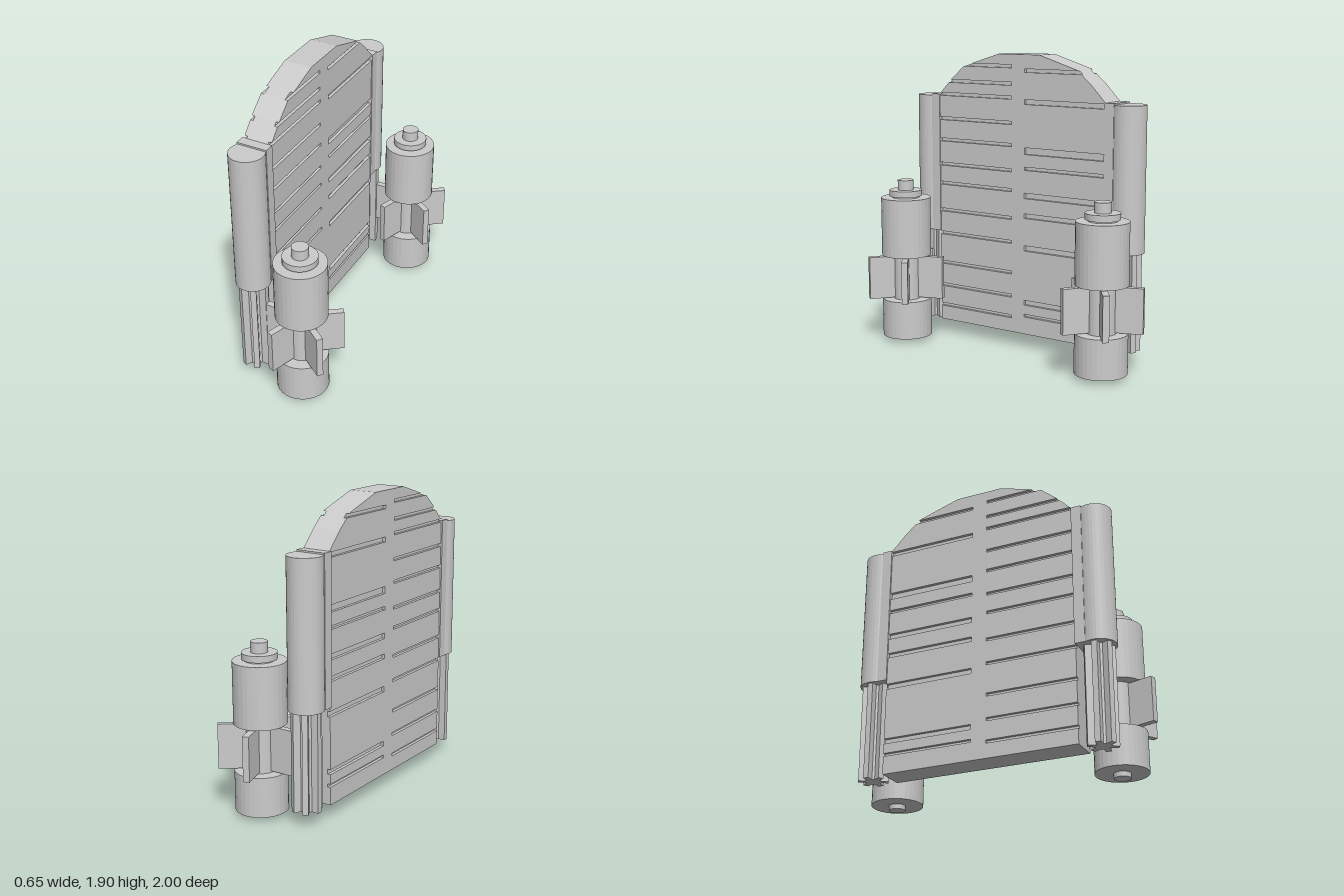
import * as THREE from 'three';

const grey = new THREE.MeshStandardMaterial({ color: 0xcccccc, flatShading: true });

function add(parent, name, geometry, x = 0, y = 0, z = 0) {
  const mesh = new THREE.Mesh(geometry, grey);
  mesh.name = name;
  mesh.position.set(x, y, z);
  parent.add(mesh);
  return mesh;
}

// Upright cylinder between two heights
function drum(parent, name, r, y0, y1, x = 0, z = 0) {
  return add(parent, name, new THREE.CylinderGeometry(r, r, y1 - y0, 32), x, (y0 + y1) / 2, z);
}

// Upright blades fanned around a vertical axis
function fan(parent, name, count, start, r, width, y0, y1) {
  for (let i = 0; i < count; i++) {
    const blade = new THREE.BoxGeometry(r, y1 - y0, width);
    blade.translate(r / 2, (y0 + y1) / 2, 0);
    blade.rotateY(start + (i * Math.PI * 2) / count);
    add(parent, name, blade);
  }
}

// Half outline of the panel as [distance from its middle, height]
const BOTTOM = 0.095;
const PANEL_Z = 0.01;
const ARCH = [[0.632, BOTTOM], [0.632, 1.63], [0.535, 1.73], [0.43, 1.82], [0.155, 1.905]];

function edgeAt(y) {
  for (let i = 1; i < ARCH.length; i++) {
    const [a, ya] = ARCH[i - 1], [b, yb] = ARCH[i];
    if (y <= yb) return a + ((b - a) * (y - ya)) / (yb - ya);
  }
  return ARCH[ARCH.length - 1][0];
}

// Bottom-to-top outline of one half, notched by the slots [low, high]
function notchedHalf(slots, inner) {
  const pieces = ARCH
    .filter(([, y]) => !slots.some(([lo, hi]) => y >= lo && y <= hi))
    .map(([d, y]) => ({ y, points: [[d, y]] }));
  for (const [lo, hi] of slots) {
    pieces.push({ y: lo, points: [[edgeAt(lo), lo], [inner, lo], [inner, hi], [edgeAt(hi), hi]] });
  }
  return pieces.sort((a, b) => a.y - b.y).flatMap((p) => p.points);
}

// Plate standing in the yz plane, its outer face at x
function plate(frontSlots, backSlots, depth) {
  const front = notchedHalf(frontSlots, 0.055).map(([d, y]) => new THREE.Vector2(d, y));
  const back = notchedHalf(backSlots, 0.045).map(([d, y]) => new THREE.Vector2(-d, y)).reverse();
  const geometry = new THREE.ExtrudeGeometry(new THREE.Shape([...front, ...back]), {
    depth, bevelEnabled: false,
  });
  return geometry.rotateY(-Math.PI / 2);
}

export function createModel() {
  const model = new THREE.Group();

  // Panel: solid core with a slotted skin on both faces
  const panel = new THREE.Group();
  panel.name = 'slottedPanel';
  panel.position.z = PANEL_Z;
  model.add(panel);
  const frontSlots = [0.198, 0.337, 0.493, 0.696, 0.854, 1.036, 1.165, 1.328, 1.47, 1.631, 1.719, 1.829]
    .map((y) => [y - 0.01, y + 0.01]);
  const backSlots = [
    [0.209, 0.228], [0.289, 0.321], [0.648, 0.683], [0.862, 0.892], [0.991, 1.026],
    [1.173, 1.194], [1.275, 1.318], [1.593, 1.623], [1.794, 1.816],
  ];
  const skin = 0.02;
  add(panel, 'panelCore', plate([], [], 0.18 - 2 * skin), -0.13 - skin);
  add(panel, 'panelSkinLeft', plate(frontSlots, backSlots, skin), -0.13);
  add(panel, 'panelSkinRight', plate(frontSlots, backSlots, skin), -0.31 + skin);

  for (const side of [1, -1]) {
    // Post: round sleeve on a splined shaft, clamped to the panel edge
    const post = new THREE.Group();
    post.name = side > 0 ? 'frontPost' : 'backPost';
    post.position.set(-0.222, 0, PANEL_Z + side * 0.746);
    model.add(post);
    drum(post, 'postSleeve', 0.108, 0.71, 1.62);
    drum(post, 'splineCore', 0.05, 0.09, 0.71);
    fan(post, 'splineTooth', 6, 0, 0.092, 0.035, 0.09, 0.71);
    add(post, 'edgeClamp', new THREE.BoxGeometry(0.196, 0.92, 0.065), 0, 1.17, -side * 0.085);

    // Roller: two drums with a five-bladed wheel between them
    const roller = new THREE.Group();
    roller.name = side > 0 ? 'frontRoller' : 'backRoller';
    roller.position.set(0.105, 0, side * 0.75);
    model.add(roller);
    drum(roller, 'axle', 0.052, 0, 1.075);
    drum(roller, 'lowerDrum', 0.163, 0.03, 0.28);
    drum(roller, 'hub', 0.09, 0.28, 0.575);
    drum(roller, 'upperDrum', 0.163, 0.575, 0.96);
    drum(roller, 'collarNeck', 0.09, 0.96, 0.97);
    drum(roller, 'collar', 0.108, 0.97, 1.01);
    fan(roller, 'blade', 5, Math.PI, 0.256, 0.04, 0.29, 0.57);
  }
  return model;
}
